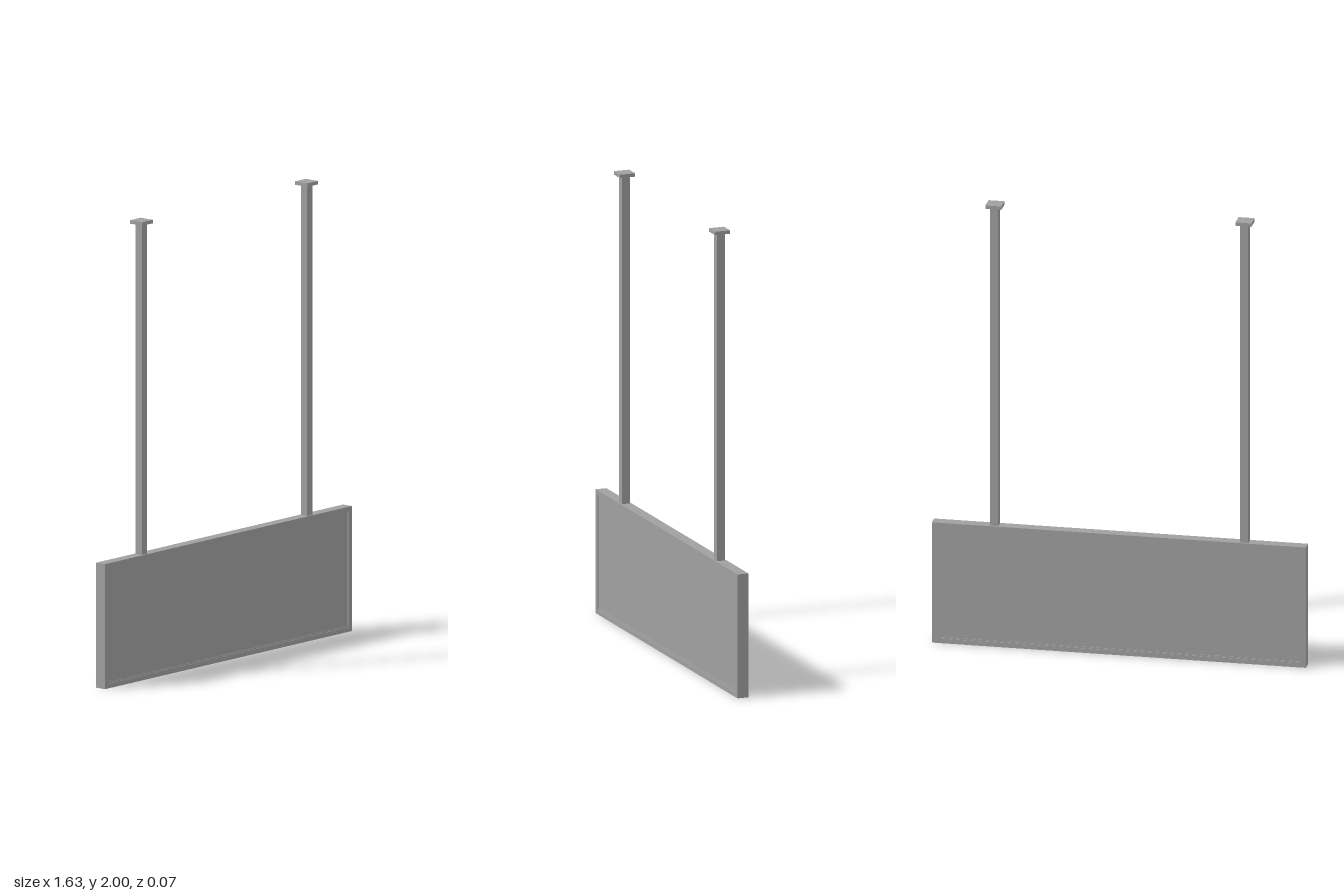
import * as THREE from 'three';

export function createModel() {
  const group = new THREE.Group();
  const grey = new THREE.MeshStandardMaterial({ color: 0xa0a0a0 });
  grey.name = 'grey metal';

  const box = (name, w, h, d, x, y) => {
    const mesh = new THREE.Mesh(new THREE.BoxGeometry(w, h, d), grey);
    mesh.name = name;
    mesh.position.set(x, y, 0);
    group.add(mesh);
  };

  const W = 1.63, H = 0.545, D = 0.05, bar = 0.02, lip = 0.006;
  const innerW = W - 2 * bar, innerH = H - 2 * bar;

  // sign panel, slightly recessed in its frame
  box('signPanel', innerW, innerH, D - 0.012, 0, H / 2);

  // horizontal rails with a thin inner lip
  for (const [name, s] of [['top', 1], ['bottom', -1]]) {
    box(name + 'Rail', W, bar, D, 0, H / 2 + s * (H - bar) / 2);
    box(name + 'Lip', innerW, lip, D - 0.006, 0, H / 2 + s * (innerH - lip) / 2);
  }

  for (const [name, s] of [['left', 1], ['right', -1]]) {
    // side rails of the frame
    box(name + 'Rail', bar, innerH, D, s * (W - bar) / 2, H / 2);
    box(name + 'Lip', lip, innerH - 2 * lip, D - 0.006, s * (innerW - lip) / 2, H / 2);
    // hanging post and its ceiling plate
    box(name + 'Post', 0.035, 1.985 - H, 0.035, s * 0.545, (1.985 + H) / 2);
    box(name + 'CeilingPlate', 0.07, 0.015, 0.07, s * 0.545, 1.9925);
  }
  return group;
}
